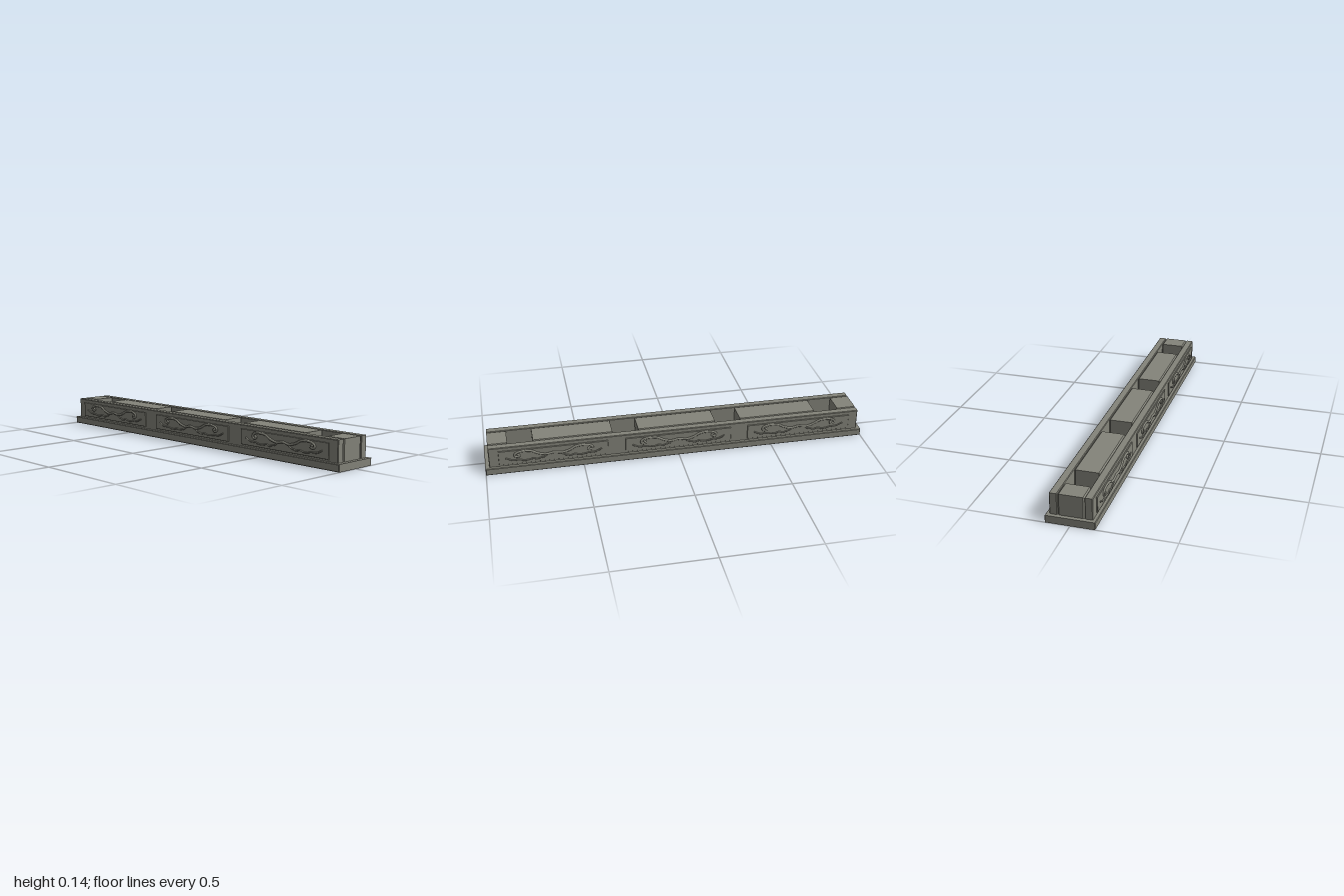
import * as THREE from 'three';

const stone = new THREE.MeshStandardMaterial({ color: 0x84847a });
stone.name = 'grey stone';

// Box with chamfered edges, given by its limits on each axis
function chamferBox(name, [x0, x1], [y0, y1], [z0, z1], c) {
  const w = (x1 - x0) / 2 - c, h = (y1 - y0) / 2 - c, d = z1 - z0 - 2 * c;
  const shape = new THREE.Shape();
  shape.moveTo(-w, -h).lineTo(w, -h).lineTo(w, h).lineTo(-w, h).closePath();
  const geo = new THREE.ExtrudeGeometry(shape, {
    depth: d, bevelSize: c, bevelThickness: c, bevelSegments: 1,
  });
  geo.translate((x0 + x1) / 2, (y0 + y1) / 2, z0 + c);
  const mesh = new THREE.Mesh(geo, stone);
  mesh.name = name;
  return mesh;
}

// Raised tube through points on the face of a panel
function scrollTube(name, points, radius) {
  const curve = new THREE.CatmullRomCurve3(points.map(([x, y]) => new THREE.Vector3(x, y, 0)));
  const mesh = new THREE.Mesh(new THREE.TubeGeometry(curve, points.length * 6, radius, 8), stone);
  mesh.name = name;
  const group = new THREE.Group();
  group.add(mesh);
  // Rounded tips
  for (const p of [points[0], points[points.length - 1]]) {
    const tip = new THREE.Mesh(new THREE.SphereGeometry(radius, 8, 6), stone);
    tip.name = name + 'Tip';
    tip.position.set(p[0], p[1], 0);
    group.add(tip);
  }
  return group;
}

// Half outlines of the ornament, from the middle outwards
const stem = [[0, 0.093], [0.04, 0.087], [0.08, 0.097], [0.112, 0.114], [0.14, 0.118],
  [0.175, 0.116], [0.196, 0.106], [0.198, 0.094], [0.184, 0.088], [0.174, 0.094], [0.182, 0.1]];
const leaf = [[0.035, 0.087], [0.05, 0.073], [0.07, 0.068], [0.085, 0.063], [0.105, 0.069],
  [0.13, 0.063], [0.155, 0.064], [0.178, 0.069], [0.21, 0.07], [0.242, 0.084]];
const mirrored = (pts) => pts.map(([x, y]) => [-x, y]);

function ornament() {
  const g = new THREE.Group();
  g.name = 'scrollOrnament';
  const wholeStem = [...mirrored(stem).reverse(), ...stem.slice(1)];
  g.add(scrollTube('scrollStem', wholeStem, 0.006));
  g.add(scrollTube('leftLeaf', leaf, 0.004), scrollTube('rightLeaf', mirrored(leaf), 0.004));
  return g;
}

export function createModel() {
  const model = new THREE.Group();
  model.name = 'ornateStoneBeam';

  // Base slab
  model.add(chamferBox('base', [-1, 1], [0, 0.037], [-0.12, 0.12], 0.003));

  // Core blocks with open gaps between them
  for (const span of [[-0.98, -0.88], [-0.75, -0.34], [-0.205, 0.205], [0.34, 0.75], [0.88, 0.98]]) {
    model.add(chamferBox('coreBlock', span, [0.03, 0.145], [-0.065, 0.065], 0.008));
  }

  // Each long side: rail, panels and ornaments
  for (const angle of [0, Math.PI]) {
    const side = new THREE.Group();
    side.name = angle ? 'backSide' : 'frontSide';
    side.add(chamferBox('rail', [-0.98, 0.98], [0.033, 0.145], [0.065, 0.103], 0.003));
    for (const x of [-0.65, 0, 0.65]) {
      side.add(chamferBox('panel', [x - 0.28, x + 0.28], [0.047, 0.125], [0.1, 0.109], 0.001));
      const scroll = ornament();
      scroll.position.set(x, 0, 0.111);
      side.add(scroll);
    }
    side.rotation.y = angle;
    model.add(side);
  }
  return model;
}
